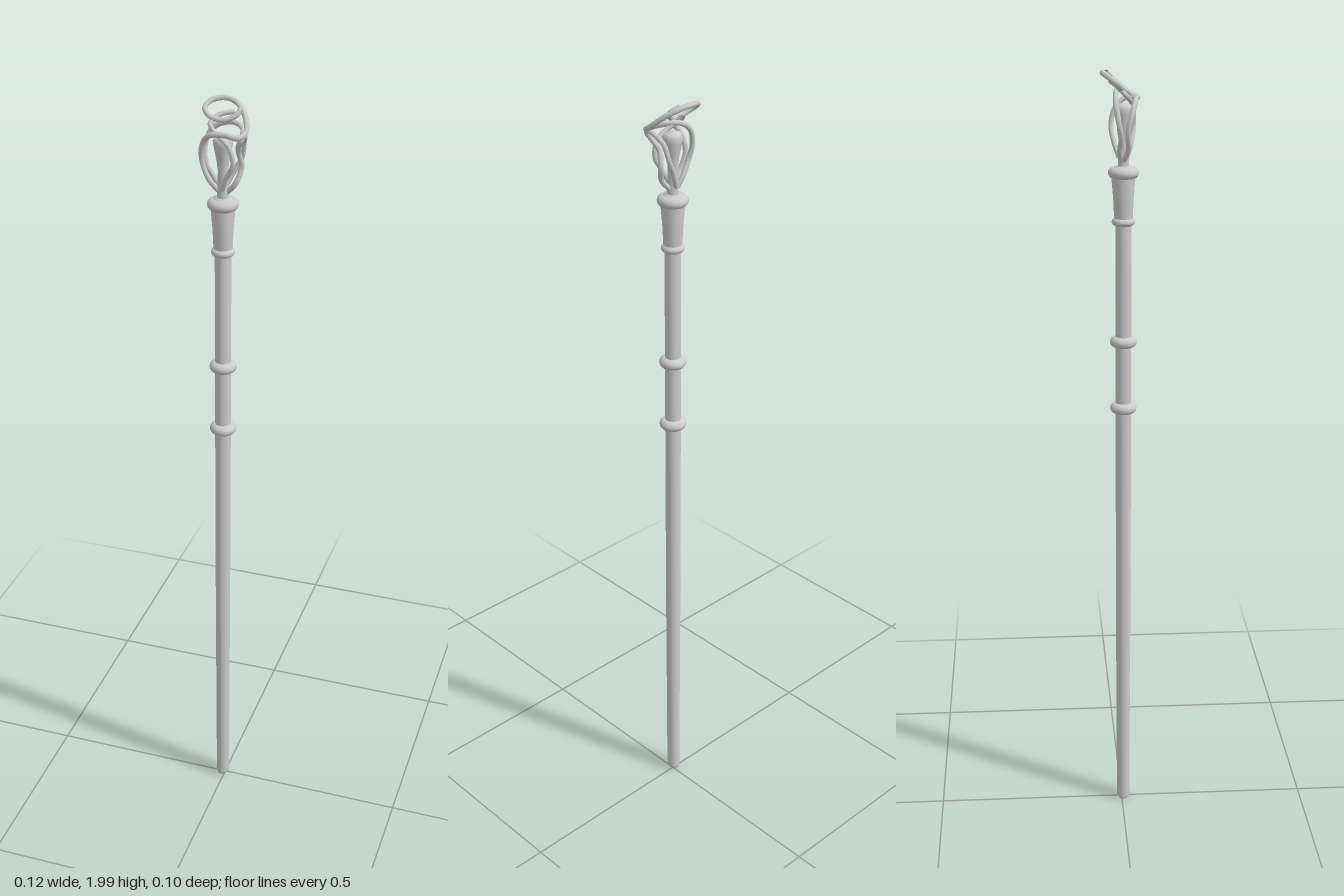
import * as THREE from 'three';

const material = new THREE.MeshStandardMaterial({ color: 0xcccccc, side: THREE.DoubleSide });
const V = (p) => new THREE.Vector3(...p);

export function createModel() {
  const staff = new THREE.Group();
  staff.name = 'staff';
  const axis = new THREE.Group();
  axis.name = 'shaftAssembly';
  axis.position.set(-0.004, 0, 0.004);
  staff.add(axis);

  const add = (parent, name, geometry) => {
    const mesh = new THREE.Mesh(geometry, material);
    mesh.name = name;
    parent.add(mesh);
    return mesh;
  };
  const lathe = (name, profile) =>
    add(axis, name, new THREE.LatheGeometry(profile.map(([r, y]) => new THREE.Vector2(r, y)), 24));

  // Long shaft with a worn foot, leaning very slightly
  const shaft = lathe('shaft', [
    [0, 0.004], [0.014, 0.004], [0.0175, 0.012], [0.018, 0.2], [0.0195, 0.6], [0.02, 1.2], [0.02, 1.64],
  ]);
  const pos = shaft.geometry.attributes.position;
  for (let i = 0; i < pos.count; i++) {
    pos.setX(i, pos.getX(i) - 0.002 * (1 - pos.getY(i) / 1.64));
    // slanted foot
    if (pos.getY(i) < 0.02) pos.setY(i, pos.getY(i) + 0.004 + pos.getX(i) * 0.2);
  }
  shaft.geometry.computeVertexNormals();

  // Flared socket below the head
  lathe('socket', [[0.02, 1.63], [0.023, 1.645], [0.025, 1.69], [0.03, 1.75], [0.026, 1.768], [0.012, 1.772]]);

  // Rounded collars: height, outer radius, half thickness
  for (const [y, r, h] of [[1.155, 0.034, 0.014], [1.33, 0.034, 0.014], [1.635, 0.029, 0.011], [1.755, 0.038, 0.014]]) {
    const profile = [];
    for (let i = 0; i <= 10; i++) {
      const a = -Math.PI / 2 + (Math.PI * i) / 10;
      profile.push([r - 0.015 + 0.015 * Math.cos(a), y + h * Math.sin(a)]);
    }
    lathe('collar', profile);
  }

  // Stem ending in a flared bud
  lathe('bud', [
    [0.014, 1.765], [0.013, 1.8], [0.012, 1.835], [0.015, 1.86], [0.022, 1.895], [0.024, 1.908],
    [0.019, 1.918], [0, 1.922],
  ]);

  // Twisting vines around the bud
  const vine = (name, points, radius = 0.0065) =>
    add(staff, name, new THREE.TubeGeometry(new THREE.CatmullRomCurve3(points.map(V)), 90, radius, 8));

  vine('leftVine', [
    [-0.012, 1.785, 0.005], [-0.035, 1.815, 0.014], [-0.053, 1.86, 0.012], [-0.048, 1.9, 0.022],
    [-0.03, 1.925, 0.03], [0.01, 1.932, 0.036], [0.045, 1.93, 0.041], [0.056, 1.94, 0.02],
    [0.045, 1.965, -0.01], [0.02, 1.985, -0.036], [-0.012, 1.993, -0.047], [-0.044, 1.988, -0.037],
    [-0.055, 1.975, -0.018], [-0.038, 1.96, -0.003], [-0.005, 1.955, -0.002], [0.022, 1.965, -0.012],
    [0.03, 1.98, -0.024], [0.012, 1.992, -0.037],
  ]);
  vine('rightVine', [
    [0.006, 1.785, 0.004], [0.028, 1.81, 0.008], [0.04, 1.85, -0.002], [0.035, 1.885, 0.008],
    [0.042, 1.91, 0.028], [0.05, 1.925, 0.034], [0.046, 1.945, 0.012], [0.015, 1.95, -0.01],
    [-0.02, 1.94, -0.016], [-0.042, 1.92, -0.016], [-0.053, 1.88, -0.01], [-0.046, 1.845, -0.004],
    [-0.026, 1.81, -0.006], [-0.01, 1.785, -0.002],
  ]);
  vine('frontVine', [
    [-0.004, 1.79, 0.012], [0.01, 1.825, 0.024], [0.028, 1.86, 0.03], [0.02, 1.9, 0.03],
    [-0.01, 1.925, 0.022], [-0.034, 1.945, 0.006], [-0.02, 1.962, -0.012], [0.015, 1.97, -0.026],
  ], 0.006);
  vine('backVine', [
    [-0.004, 1.79, -0.006], [0.014, 1.825, -0.018], [0.034, 1.865, -0.024], [0.042, 1.905, -0.014],
    [0.05, 1.925, 0.008], [0.048, 1.93, 0.038],
  ], 0.006);
  return staff;
}
